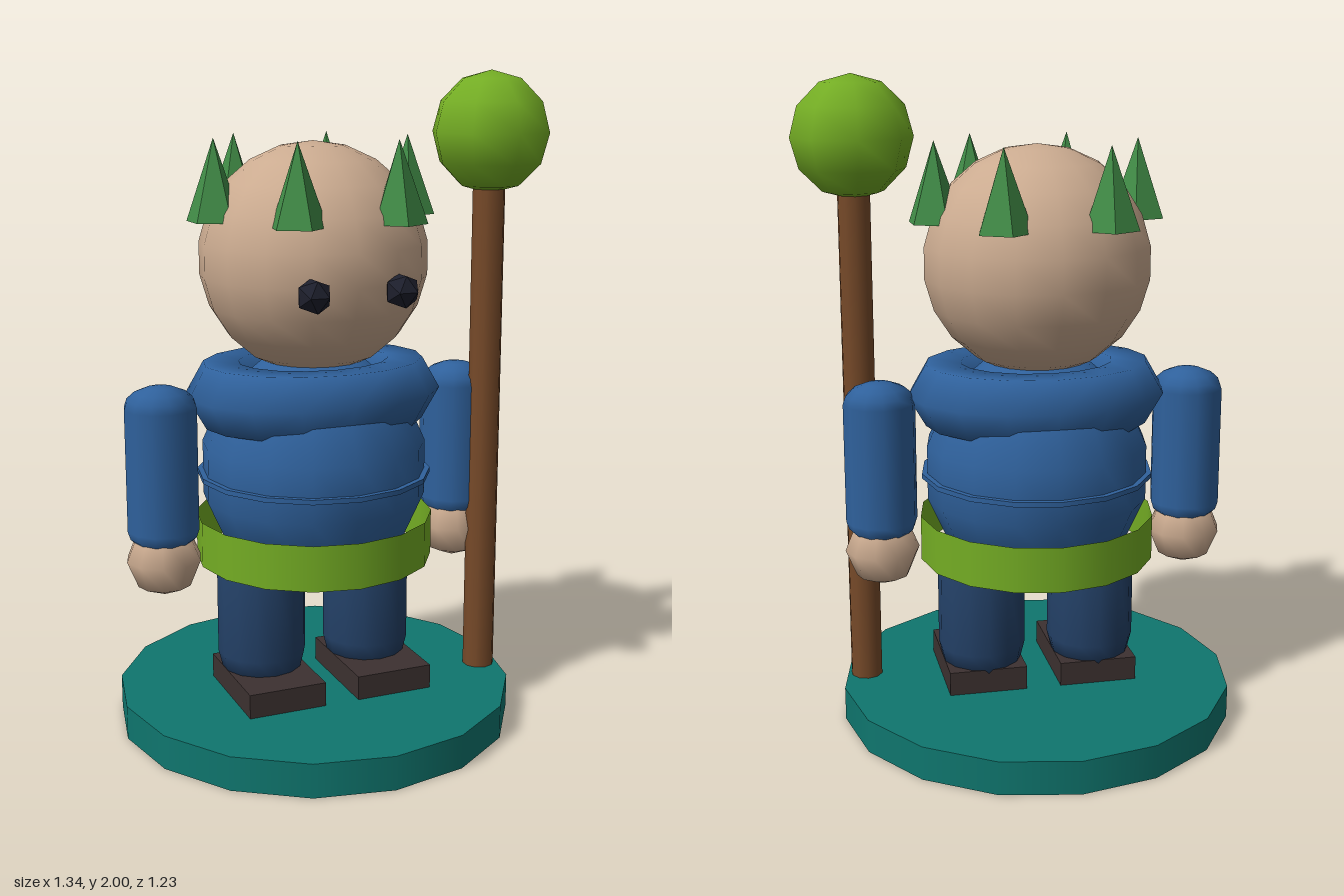
import * as THREE from 'three';

const mat = (name, color, extra = {}) => {
  const m = new THREE.MeshStandardMaterial({ color, ...extra });
  m.name = name;
  return m;
};

export function createModel() {
  const teal = mat('teal', 0x0f766e);
  const skin = mat('skin', 0xcbab90);
  const blue = mat('coat blue', 0x2f619c);
  const navy = mat('trouser navy', 0x234066);
  const lime = mat('lime', 0x74ad24, { side: THREE.DoubleSide });
  const leaf = mat('leaf green', 0x418c47, { flatShading: true });
  const wood = mat('wood brown', 0x774a29);
  const shoe = mat('shoe brown', 0x3c3130);
  const dark = mat('eye black', 0x1d1f2c);

  const model = new THREE.Group();
  const figure = new THREE.Group();
  figure.name = 'figure';
  figure.position.x = -0.053;
  model.add(figure);

  const add = (name, geo, material, x, y, z = 0) => {
    const mesh = new THREE.Mesh(geo, material);
    mesh.name = name;
    mesh.position.set(x, y, z);
    figure.add(mesh);
    return mesh;
  };

  // Round base
  add('base', new THREE.CylinderGeometry(0.617, 0.617, 0.105, 16), teal, 0, 0.0525);

  // Body, coat seam, belt and collar
  add('torso', new THREE.SphereGeometry(0.352, 16, 7), blue, 0, 0.8).scale.y = 1.08;
  add('coatSeam', new THREE.CylinderGeometry(0.36, 0.36, 0.015, 16), blue, 0, 0.79);
  add('belt', new THREE.CylinderGeometry(0.366, 0.366, 0.14, 16, 1, true), lime, 0, 0.59);
  const collarGeo = new THREE.TorusGeometry(0.29, 0.11, 6, 16).rotateX(Math.PI / 2);
  add('collar', collarGeo, blue, 0, 1.045).scale.z = 0.79;

  // Head
  add('head', new THREE.SphereGeometry(0.347, 16, 11), skin, 0, 1.45);

  // Crown of six leaf spikes, one base corner facing inward
  for (let i = 0; i < 6; i++) {
    const a = Math.PI / 2 + (i * Math.PI) / 3;
    const spike = add('leafSpike', new THREE.ConeGeometry(0.085, 0.24, 5), leaf,
      Math.sin(a) * 0.31, 1.69, Math.cos(a) * 0.31);
    spike.rotation.y = a + Math.PI;
  }

  // Paired parts
  const legProfile = [[0, 0.12], [0.12, 0.16], [0.137, 0.23], [0.137, 0.51], [0.075, 0.6], [0, 0.63]]
    .map(([r, y]) => new THREE.Vector2(r, y));
  for (const s of [-1, 1]) {
    add('eye', new THREE.IcosahedronGeometry(0.054, 0).rotateZ(Math.PI / 2), dark, s * 0.135, 1.387, 0.338);
    add('arm', new THREE.CapsuleGeometry(0.11, 0.37, 4, 12), blue, s * 0.487, 0.845).name = 'arm';
    add('hand', new THREE.SphereGeometry(0.115, 10, 4), skin, s * 0.487, 0.565);
    add('leg', new THREE.LatheGeometry(legProfile, 14), navy, s * 0.177, 0);
    add('shoe', new THREE.BoxGeometry(0.245, 0.075, 0.35), shoe, s * 0.177, 0.1425, 0.053);
  }
  // Flatten the arm ends into short caps
  figure.children.filter((c) => c.name === 'arm').forEach((arm) => {
    const p = arm.geometry.attributes.position;
    for (let i = 0; i < p.count; i++) {
      const y = p.getY(i);
      if (Math.abs(y) > 0.185) p.setY(i, Math.sign(y) * (0.185 + (Math.abs(y) - 0.185) * 0.6));
    }
    arm.geometry.computeBoundingSphere();
  });

  // Staff with round top
  add('staff', new THREE.CylinderGeometry(0.05, 0.05, 1.6, 10), wood, 0.536, 0.9, 0.106);
  add('staffTop', new THREE.SphereGeometry(0.184, 8, 6), lime, 0.536, 1.816, 0.106);

  return model;
}
